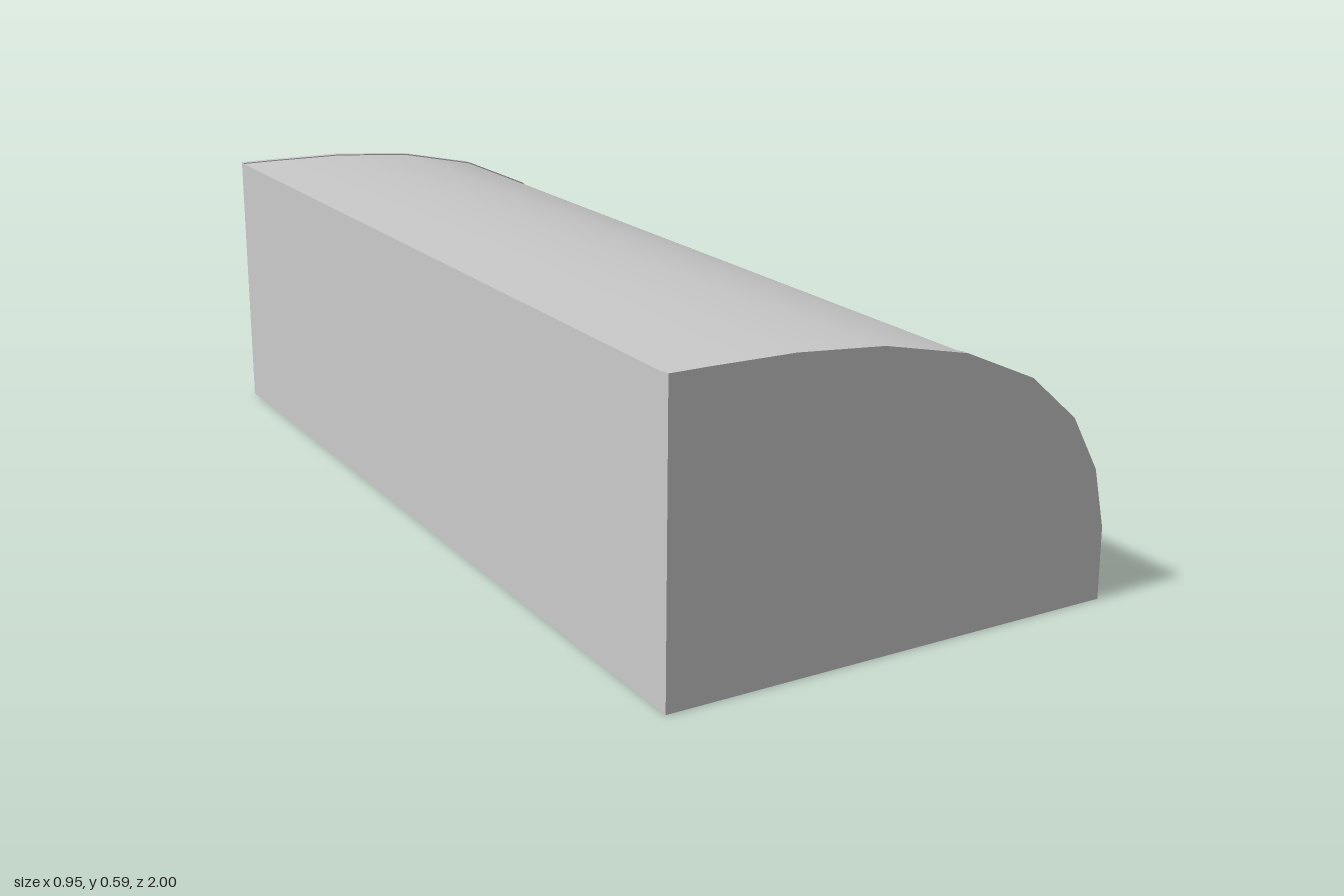
import * as THREE from 'three';
import { toCreasedNormals } from 'three/addons/utils/BufferGeometryUtils.js';

const BACK = -0.475, RIM = 0.015, LIP = 0.03;
// Rounded edge, from the top of the flat side down to the foot
const CURVE = [
  [-0.475, 0.59], [-0.4, 0.59], [-0.23, 0.588], [-0.05, 0.573], [0.128, 0.534],
  [0.28, 0.466], [0.385, 0.374], [0.446, 0.265], [0.473, 0.145],
];

// Quarter-round section between z0 and z1, pulled in by a scale factor
function quarterRound(name, z0, z1, scale, bottom, material) {
  const fit = (x, y) => new THREE.Vector2(BACK + (x - BACK) * scale, y * scale);
  const foot = fit(0.475, 0);
  const points = [
    new THREE.Vector2(BACK, bottom),
    new THREE.Vector2(foot.x, bottom),
    ...CURVE.map(([x, y]) => fit(x, y)).reverse(),
  ];
  const geometry = new THREE.ExtrudeGeometry(new THREE.Shape(points), {
    depth: z1 - z0, bevelEnabled: false,
  });
  geometry.translate(0, 0, z0);
  const mesh = new THREE.Mesh(toCreasedNormals(geometry, 0.5), material);
  mesh.name = name;
  return mesh;
}

export function createModel() {
  const group = new THREE.Group();
  group.name = 'quarterRoundBlock';
  const material = new THREE.MeshStandardMaterial({ color: 0xcccccc });

  // Curved body, set in slightly between the rims
  group.add(quarterRound('curvedBody', -1 + RIM, 1 - RIM, 0.996, LIP, material));

  // Thin raised rim at each end
  group.add(quarterRound('frontRim', 1 - RIM, 1, 1, 0, material));
  group.add(quarterRound('backRim', -1, -1 + RIM, 1, 0, material));

  // Lip along the foot
  const lip = new THREE.Mesh(new THREE.BoxGeometry(0.95, LIP, 2 - 2 * RIM), material);
  lip.position.y = LIP / 2;
  lip.name = 'baseLip';
  group.add(lip);

  return group;
}
